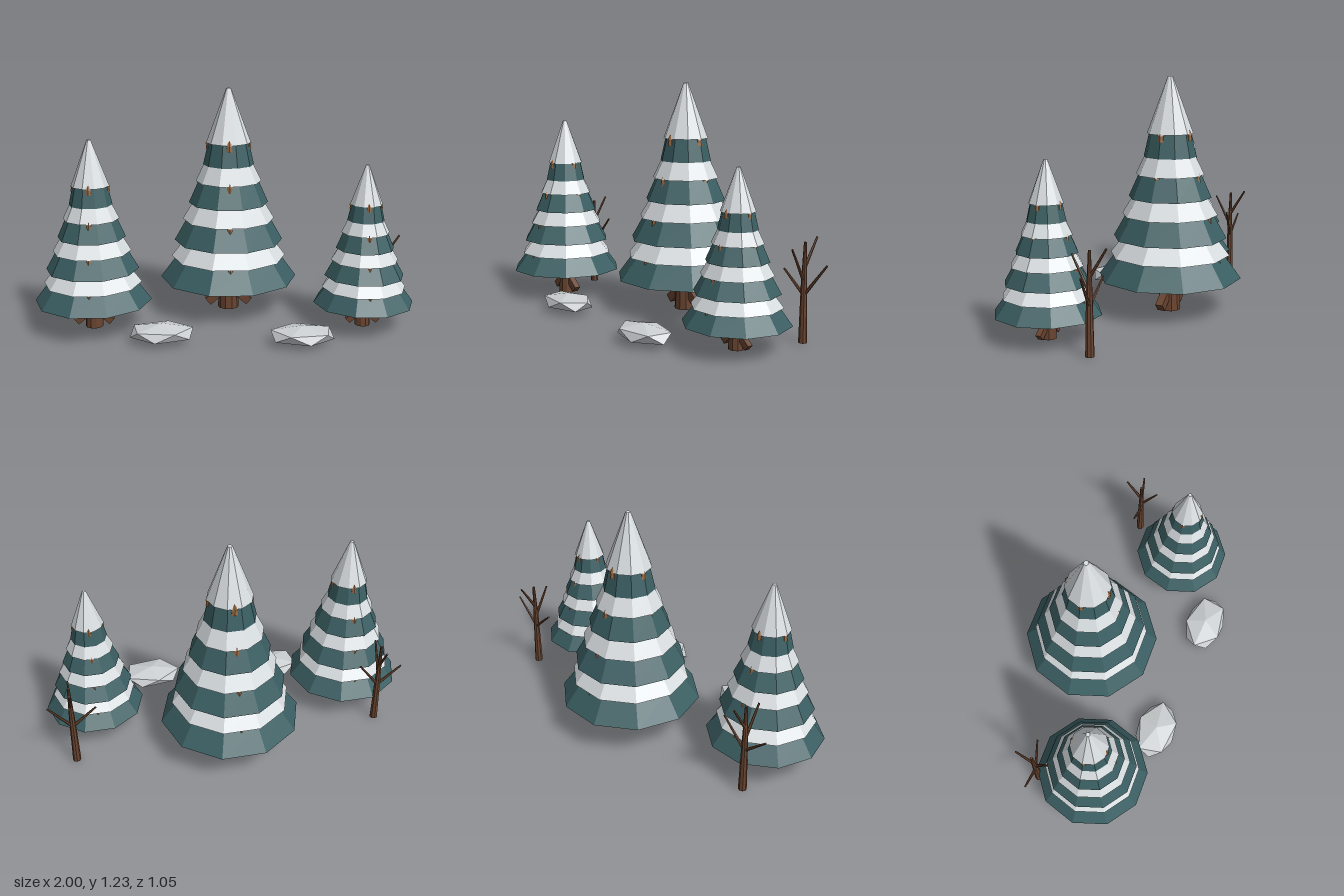
import * as THREE from 'three';

const mat = (name, color) => {
  const m = new THREE.MeshStandardMaterial({ color, flatShading: true });
  m.name = name;
  return m;
};

export function createModel() {
  const needles = mat('needle green', 0x3b5f63);
  const snow = mat('snow white', 0xd9dee1);
  const bark = mat('bark brown', 0x68432f);
  const coneBrown = mat('pine cone brown', 0x956741);
  const stone = mat('stone grey', 0xcbcfd1);

  const root = new THREE.Group();
  root.name = 'winterForest';

  const add = (parent, name, geometry, material) => {
    const mesh = new THREE.Mesh(geometry, material);
    mesh.name = name;
    parent.add(mesh);
    return mesh;
  };

  // Ten-sided frustum standing on y0, with corners on the x axis
  const frustum = (rBottom, rTop, y0, y1, sides = 10) =>
    new THREE.CylinderGeometry(rTop, rBottom, y1 - y0, sides)
      .rotateY(Math.PI / 2).translate(0, (y0 + y1) / 2, 0);

  // Tapered limb between two points
  const limb = (a, b, r0, r1, sides = 6) => {
    const from = new THREE.Vector3(...a), dir = new THREE.Vector3(...b).sub(from);
    const length = dir.length();
    const turn = new THREE.Quaternion().setFromUnitVectors(new THREE.Vector3(0, 1, 0), dir.normalize());
    return new THREE.CylinderGeometry(r1, r0, length, sides)
      .translate(0, length / 2, 0).applyQuaternion(turn).translate(...a);
  };

  // Tiers: green base radius, snow edge radius, snow top radius
  const tiers = [
    [0.375, 0.314, 0.243],
    [0.297, 0.251, 0.195],
    [0.217, 0.179, 0.134],
    [0.138, 0.121, 0.013],
  ];

  function pineTree(name, x, z, scale) {
    const tree = new THREE.Group();
    tree.name = name;
    tree.position.set(x, 0, z);
    tree.scale.setScalar(scale);
    root.add(tree);

    add(tree, 'trunk', frustum(0.058, 0.05, 0, 0.22), bark);
    // Slanted roots on both sides
    for (const s of [-1, 1]) {
      const r = add(tree, 'root', new THREE.BoxGeometry(0.13, 0.046, 0.042), bark);
      r.position.set(s * 0.065, 0.075, 0);
      r.rotation.z = -s * 0.72;
    }

    tiers.forEach(([rGreen, rSnow, rTop], i) => {
      const y = 0.18 + i * 0.2115, edge = y + 0.12;
      const last = i === tiers.length - 1;
      const rInner = rSnow / 1.1;
      add(tree, 'needleTier', frustum(rGreen, rInner, y, edge + 0.002), needles);
      add(tree, 'snowTier', frustum(rSnow, rTop, edge, last ? 1.227 : edge + 0.093), snow);

      // Four pine cones tucked under each snow edge
      for (let k = 0; k < 4; k++) {
        const a = k * Math.PI / 2;
        const pineCone = new THREE.Group();
        pineCone.name = 'pineCone';
        pineCone.position.set(Math.cos(a) * rInner * 0.95, edge - 0.035, Math.sin(a) * rInner * 0.95);
        pineCone.rotation.y = -a;
        add(pineCone, 'coneBase', frustum(0.019, 0.014, 0, 0.034, 6), coneBrown);
        add(pineCone, 'coneScales', frustum(0.02, 0.012, 0.03, 0.046, 6), coneBrown);
        add(pineCone, 'coneTip', frustum(0.012, 0.002, 0.046, 0.06, 6), coneBrown);
        tree.add(pineCone);
      }
    });
  }

  function bareTree(name, x, z) {
    const tree = new THREE.Group();
    tree.name = name;
    tree.position.set(x, 0, z);
    root.add(tree);
    add(tree, 'bareTrunk', limb([0, 0, 0], [0, 0.3, 0], 0.022, 0.015, 8), bark);
    add(tree, 'trunkTip', limb([0, 0.295, 0], [0, 0.495, -0.003], 0.015, 0.007, 8), bark);
    const branches = [
      [0.235, [0.118, 0.395, -0.025]],
      [0.235, [-0.128, 0.345, 0]],
      [0.3, [0, 0.47, 0.09]],
      [0.365, [0, 0.51, -0.09]],
    ];
    for (const [y, tip] of branches) {
      add(tree, 'branch', limb([0, y, 0], tip, 0.009, 0.005), bark);
    }
  }

  // Faceted boulder with one corner pointing up
  function rock(name, x, z, turn) {
    const g = new THREE.IcosahedronGeometry(1, 0)
      .rotateX(-Math.atan2(0.851, 0.526)).rotateY(Math.PI / 2 + turn)
      .scale(0.181, 0.048, 0.122);
    add(root, name, g, stone).position.set(x, 0.053, z);
  }

  pineTree('tallPine', 0.03, -0.168, 1);
  pineTree('mediumPine', -0.693, 0.112, 0.815);
  pineTree('smallPine', 0.733, 0.14, 0.706);
  bareTree('rightBareTree', -0.805, -0.172);
  bareTree('leftBareTree', 0.873, -0.172);
  rock('rightRock', -0.33, 0.36, 0.12);
  rock('leftRock', 0.381, 0.415, Math.PI - 0.12);

  return root;
}
